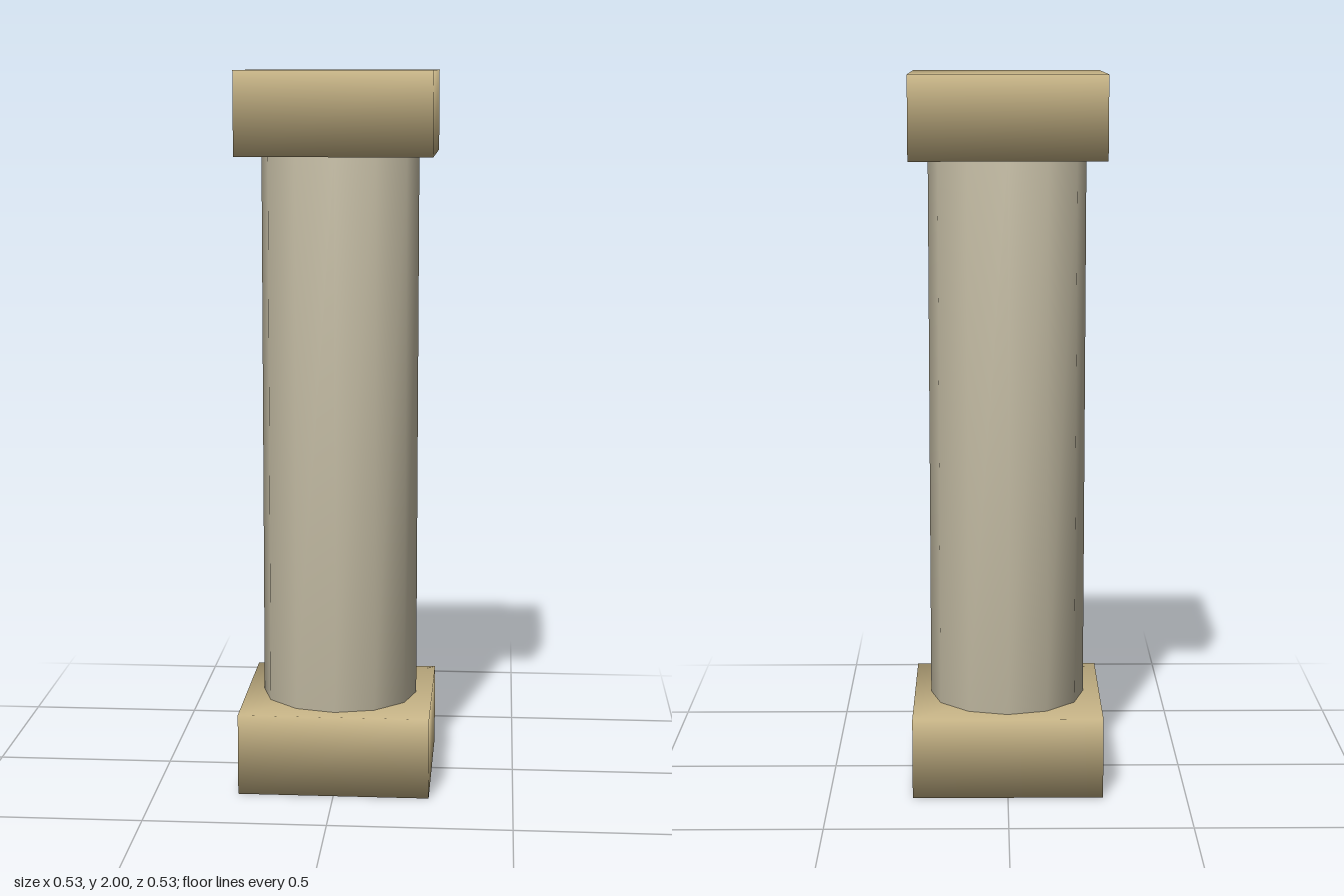
import * as THREE from 'three';
import { mergeVertices } from 'three/addons/utils/BufferGeometryUtils.js';

const stone = new THREE.MeshStandardMaterial({ color: 0xc4bca4 });
const sandstone = new THREE.MeshStandardMaterial({ color: 0xc8b587 });

// Weld all corners so the normals blend across every edge
function weld(geometry) {
  geometry.deleteAttribute('normal');
  geometry.deleteAttribute('uv');
  const welded = mergeVertices(geometry, 1e-4);
  welded.computeVertexNormals();
  return welded;
}

function addPart(group, name, geometry, material, y) {
  const mesh = new THREE.Mesh(weld(geometry), material);
  mesh.name = name;
  mesh.position.y = y;
  group.add(mesh);
}

export function createModel() {
  const group = new THREE.Group();
  group.name = 'column';
  const width = 0.533, blockHeight = 0.228, radius = 0.22;

  // Square blocks at both ends
  addPart(group, 'base', new THREE.BoxGeometry(width, blockHeight, width), sandstone, blockHeight / 2);
  addPart(group, 'capital', new THREE.BoxGeometry(width, blockHeight, width), sandstone, 2 - blockHeight / 2);

  // Twelve-sided round shaft between the blocks
  addPart(group, 'shaft', new THREE.CylinderGeometry(radius, radius, 2 - 2 * blockHeight, 12), stone, 1);
  return group;
}
